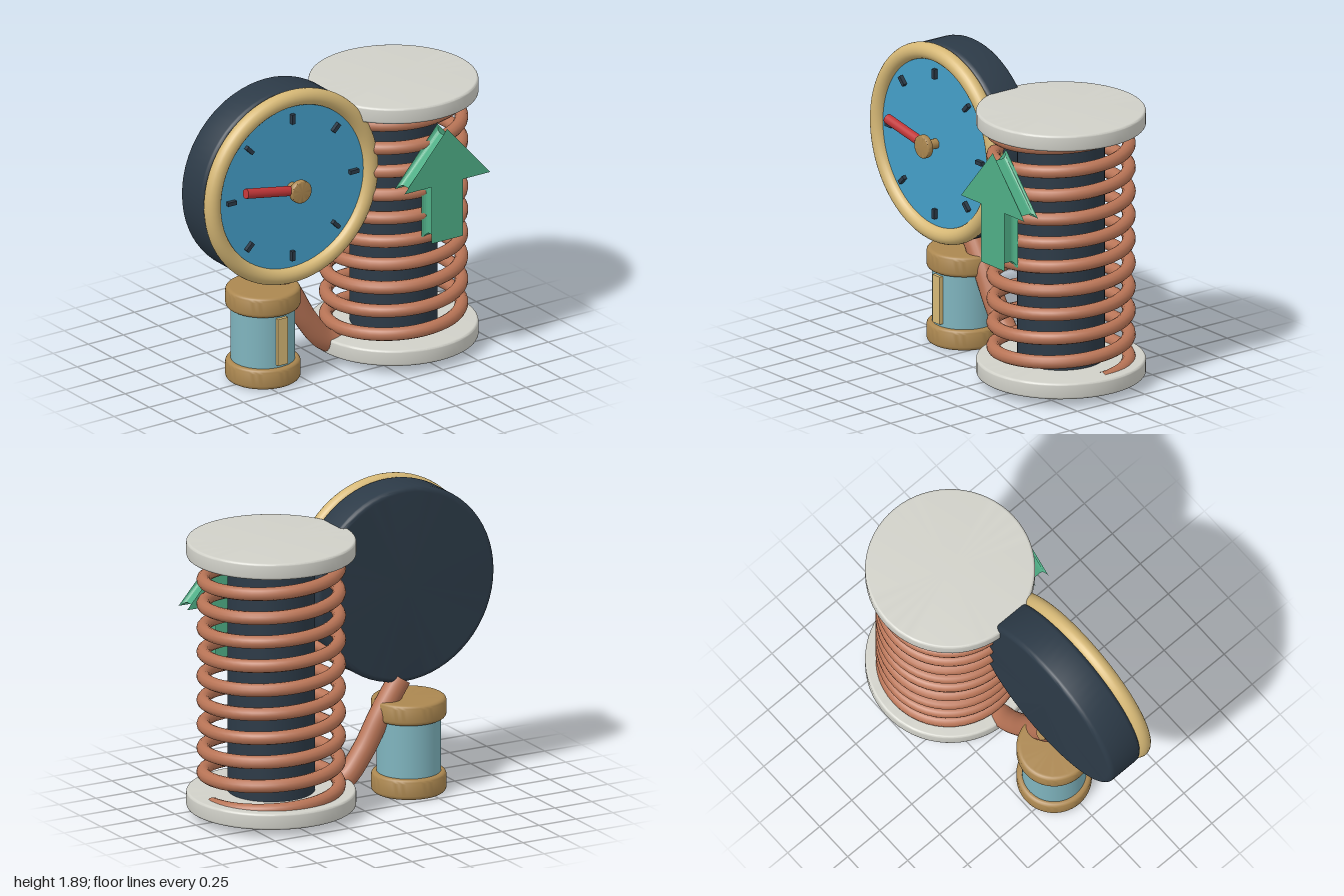
import * as THREE from 'three';
import { toCreasedNormals } from 'three/addons/utils/BufferGeometryUtils.js';

const mat = (name, color, side = THREE.FrontSide) => {
  const m = new THREE.MeshStandardMaterial({ color, side });
  m.name = name;
  return m;
};

// Upright disc standing on y = 0, with rounded rims
function roundDisc(r, h, b) {
  const pts = [new THREE.Vector2(0, 0), new THREE.Vector2(r - b * 1.2, 0)];
  for (let i = 0; i <= 4; i++) {
    const a = (i / 4) * Math.PI / 2;
    pts.push(new THREE.Vector2(r - b + b * Math.sin(a), b - b * Math.cos(a)));
  }
  for (let i = 0; i <= 4; i++) {
    const a = (i / 4) * Math.PI / 2;
    pts.push(new THREE.Vector2(r - b + b * Math.cos(a), h - b + b * Math.sin(a)));
  }
  pts.push(new THREE.Vector2(r - b * 1.2, h), new THREE.Vector2(0, h));
  return toCreasedNormals(new THREE.LatheGeometry(pts, 64), 0.6);
}

// Helix climbing from y0 to y1
class Helix extends THREE.Curve {
  constructor(r, y0, y1, turns) {
    super();
    Object.assign(this, { r, y0, y1, turns });
  }
  getPoint(t, target = new THREE.Vector3()) {
    const a = t * this.turns * Math.PI * 2;
    return target.set(this.r * Math.cos(a), this.y0 + (this.y1 - this.y0) * t, -this.r * Math.sin(a));
  }
}

export function createModel() {
  const root = new THREE.Group();
  root.name = 'coilAndGauge';
  const pale = mat('pale grey', 0xd0d0c8);
  const dark = mat('dark slate', 0x2c3a47);
  const copper = mat('copper', 0xb87456, THREE.DoubleSide);
  const brass = mat('light brass', 0xd6b876);
  const bronze = mat('bronze', 0xab8750);
  const blue = mat('dial blue', 0x449ec8);
  const red = mat('needle red', 0xc03638);
  const glass = mat('glass teal', 0x7fb4be);
  const green = mat('arrow green', 0x4fae86);

  const add = (parent, name, geo, material, x = 0, y = 0, z = 0) => {
    const m = new THREE.Mesh(geo, material);
    m.name = name;
    m.position.set(x, y, z);
    parent.add(m);
    return m;
  };
  const group = (name, x, y, z) => {
    const g = new THREE.Group();
    g.name = name;
    g.position.set(x, y, z);
    root.add(g);
    return g;
  };

  // Coil wound around a core between two end plates
  const coil = group('coil', 0.5, 0, -0.015);
  const plate = roundDisc(0.5, 0.1, 0.015);
  add(coil, 'bottomPlate', plate, pale, 0, 0.05, 0);
  add(coil, 'topPlate', plate, pale, 0, 1.59, 0);
  add(coil, 'core', new THREE.CylinderGeometry(0.258, 0.258, 1.46, 48), dark, 0, 0.87, 0);
  add(coil, 'winding', new THREE.TubeGeometry(new Helix(0.4, 0.12, 1.6, 10), 480, 0.04, 12), copper);

  // Round gauge facing the front
  const gauge = group('gauge', -0.39, 1.28, 0);
  const facing = (name, geo, material, z) => {
    add(gauge, name, geo, material, 0, 0, z).rotation.x = Math.PI / 2;
  };
  facing('casing', roundDisc(0.6, 0.24, 0.03), dark, -0.06);
  facing('dial', new THREE.CylinderGeometry(0.54, 0.54, 0.05, 64), blue, 0.2);
  facing('hub', roundDisc(0.07, 0.04, 0.008), bronze, 0.297);
  facing('hubPin', new THREE.CylinderGeometry(0.03, 0.03, 0.09, 16), bronze, 0.265);
  add(gauge, 'bezel', new THREE.TorusGeometry(0.56, 0.05, 20, 80), brass, 0, 0, 0.22);
  for (let i = 0; i < 8; i++) {
    const a = i * Math.PI / 4;
    const tick = add(gauge, 'tick', new THREE.BoxGeometry(0.06, 0.024, 0.03), dark,
      0.435 * Math.cos(a), 0.435 * Math.sin(a), 0.235);
    tick.rotation.z = a;
  }
  const tilt = THREE.MathUtils.degToRad(80);
  const needle = add(gauge, 'needle', new THREE.CylinderGeometry(0.03, 0.03, 0.38, 20), red,
    -0.19 * Math.sin(tilt), 0.19 * Math.cos(tilt), 0.295);
  needle.rotation.z = tilt;

  // Small glass vessel with two caps and a level strip
  const vessel = group('vessel', -0.43, 0, -0.015);
  const cap = roundDisc(0.222, 0.125, 0.025);
  add(vessel, 'bottomCap', cap, bronze, 0, 0, 0);
  add(vessel, 'topCap', cap, bronze, 0, 0.455, 0);
  add(vessel, 'glass', new THREE.CylinderGeometry(0.19, 0.19, 0.36, 48), glass, 0, 0.29, 0);
  add(vessel, 'levelStrip', new THREE.BoxGeometry(0.07, 0.295, 0.04), brass, 0, 0.292, 0.19);

  // Pipe from the gauge down under the coil
  const path = new THREE.CatmullRomCurve3([
    [-0.37, 0.7], [-0.24, 0.5], [-0.12, 0.29], [0.01, 0.135], [0.17, 0.077], [0.4, 0.13],
  ].map(([x, y]) => new THREE.Vector3(x, y, -0.015)));
  add(root, 'pipe', new THREE.TubeGeometry(path, 48, 0.068, 20), copper);

  // Upward arrow with hollowed edges
  const shape = new THREE.Shape([
    [-0.113, 0.825], [0.113, 0.825], [0.113, 1.185], [0.305, 1.185],
    [0, 1.53], [-0.305, 1.185], [-0.113, 1.185],
  ].map(([x, y]) => new THREE.Vector2(x, y)));
  const arrow = new THREE.ExtrudeGeometry(shape, {
    depth: 0.05, bevelThickness: 0.025, bevelSize: -0.035, bevelSegments: 4,
  });
  add(root, 'arrow', arrow, green, 0.523, 0, 0.435);

  return root;
}
